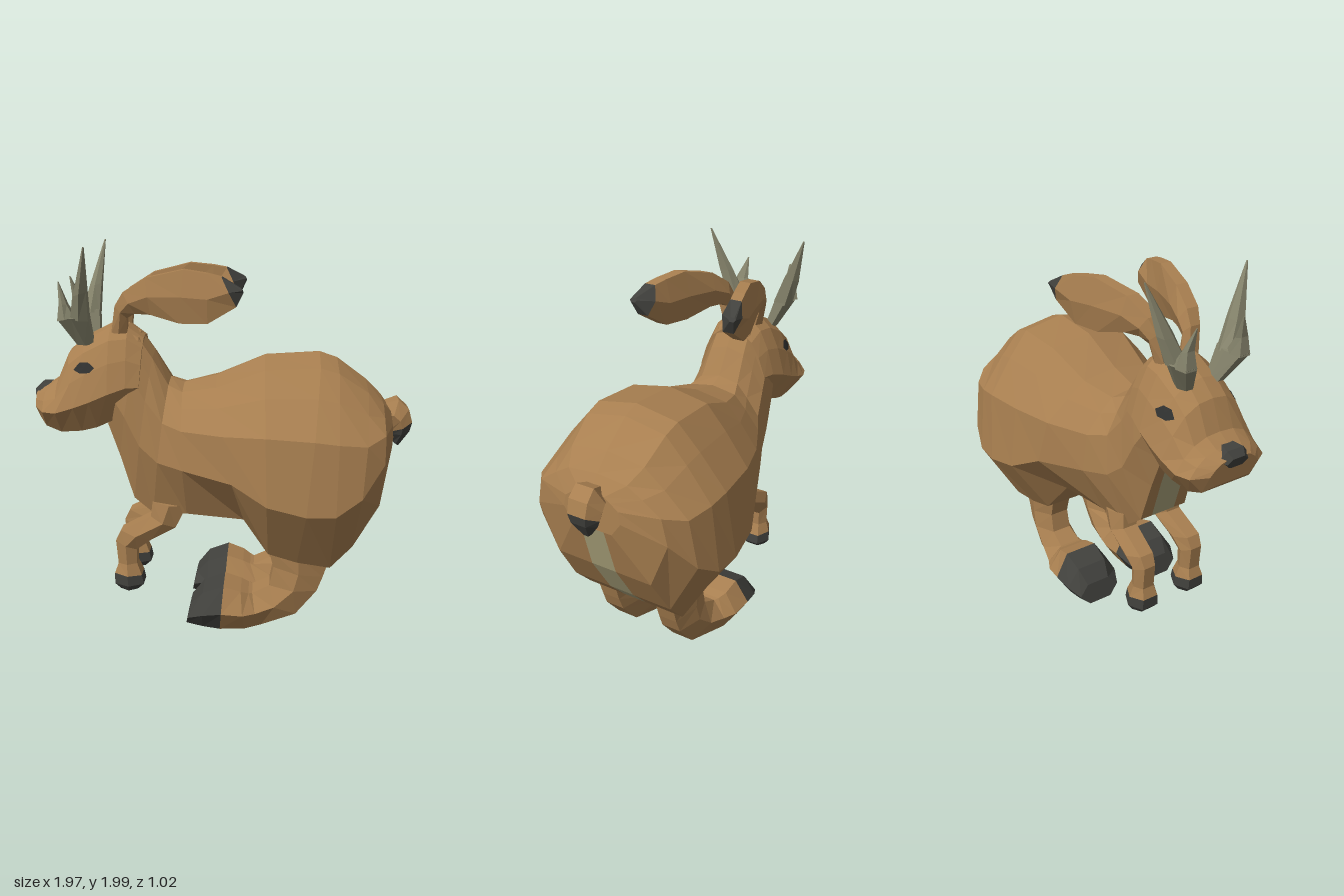
import * as THREE from 'three';

const mat = (name, color, side = THREE.FrontSide) => {
  const m = new THREE.MeshStandardMaterial({ color, flatShading: true, side });
  m.name = name;
  return m;
};

// Skin a list of equal-length rings, cap both ends, and face the surface outward.
// pick(i, j) returns the material slot of the quad after ring i, corner j.
function loft(name, rings, mats, pick = () => 0) {
  const n = rings[0].length;
  const slots = mats.map(() => []);
  const tri = (s, a, b, c) => slots[s].push([a, b, c]);
  for (let i = 0; i < rings.length - 1; i++) {
    for (let j = 0; j < n; j++) {
      const k = (j + 1) % n, s = pick(i, j);
      tri(s, rings[i][j], rings[i + 1][j], rings[i + 1][k]);
      tri(s, rings[i][j], rings[i + 1][k], rings[i][k]);
    }
  }
  const last = rings.length - 1;
  for (let j = 1; j < n - 1; j++) {
    tri(pick(0, j), rings[0][0], rings[0][j], rings[0][j + 1]);
    tri(pick(last, j), rings[last][0], rings[last][j + 1], rings[last][j]);
  }
  let volume = 0;
  const cross = new THREE.Vector3();
  slots.flat().forEach(([a, b, c]) => { volume += a.dot(cross.crossVectors(b, c)); });
  const geo = new THREE.BufferGeometry();
  const pos = [];
  slots.forEach((tris, s) => {
    geo.addGroup(pos.length / 3, tris.length * 3, s);
    tris.forEach(([a, b, c]) => (volume > 0 ? [a, b, c] : [a, c, b]).forEach(p => pos.push(p.x, p.y, p.z)));
  });
  geo.setAttribute('position', new THREE.Float32BufferAttribute(pos, 3));
  geo.computeVertexNormals();
  const mesh = new THREE.Mesh(geo, mats.length > 1 ? mats : mats[0]);
  mesh.name = name;
  return mesh;
}

// Torso or head ring: [xTop, yTop, xBottom, yBottom, halfWidth, yWidest, bottomHalfWidth]
const trunkRing = taper => ([xT, T, xB, B, w, ym, wb]) => {
  const half = [[Math.min(0.07, wb * 0.6), B], [wb, B], [w, ym],
    ...taper.map(([f, h]) => [w * f, ym + (T - ym) * h])];
  const at = (z, y) => new THREE.Vector3(xB + (xT - xB) * (y - B) / (T - B), y, z);
  const right = half.map(([z, y]) => at(z, y));
  const left = half.map(([z, y]) => at(-z, y)).reverse();
  return [left[left.length - 1], ...right, at(0, T), ...left.slice(0, -1)];
};

// Six-sided limb ring between two edge points: [x1, y1, x2, y2, z, halfWidth]
const limbRing = side => ([x1, y1, x2, y2, z, w]) =>
  [[0, 0.55], [0.5, 1], [1, 0.55], [1, -0.55], [0.5, -1], [0, -0.55]].map(([t, f]) =>
    new THREE.Vector3(x1 + (x2 - x1) * t, y1 + (y2 - y1) * t, side * (z + w * f)));

export function createModel() {
  const fur = mat('brown fur', 0xa87f50);
  const pale = mat('pale belly', 0xaca47c);
  const horn = mat('antler', 0x86846c);
  const dark = mat('dark tips', 0x41413d);
  const ink = mat('eye', 0x2f302f, THREE.DoubleSide);

  const model = new THREE.Group();
  model.name = 'antleredHare';

  // Torso from rump to neck, with a pale strip along the underside
  const torso = [
    [0.87, 1.17, 0.88, 0.98, 0.16, 1.05, 0.11],
    [0.82, 1.24, 0.81, 0.72, 0.37, 0.97, 0.27],
    [0.74, 1.32, 0.68, 0.50, 0.46, 0.82, 0.29],
    [0.59, 1.43, 0.57, 0.38, 0.50, 0.74, 0.29],
    [0.50, 1.46, 0.40, 0.40, 0.51, 0.74, 0.28],
    [0.22, 1.44, 0.25, 0.44, 0.49, 0.78, 0.27],
    [-0.03, 1.33, 0.12, 0.61, 0.42, 0.87, 0.22],
    [-0.20, 1.29, -0.18, 0.62, 0.31, 0.90, 0.18],
    [-0.27, 1.32, -0.36, 0.61, 0.25, 0.92, 0.15],
    [-0.35, 1.46, -0.46, 0.69, 0.225, 1.0, 0.14],
    [-0.42, 1.56, -0.53, 0.92, 0.21, 1.15, 0.13],
    [-0.48, 1.59, -0.59, 1.09, 0.19, 1.25, 0.12],
  ].map(trunkRing([[0.92, 0.51], [0.66, 0.76], [0.44, 0.94]]));
  model.add(loft('torso', torso, [fur, pale], (i, j) => (j === 0 ? 1 : 0)));

  // Head
  const head = loft('head', [
    [-0.97, 1.25, -0.95, 1.12, 0.14, 1.18, 0.10],
    [-0.91, 1.28, -0.91, 1.08, 0.215, 1.17, 0.14],
    [-0.85, 1.32, -0.83, 1.05, 0.24, 1.17, 0.15],
    [-0.79, 1.46, -0.72, 1.06, 0.245, 1.20, 0.16],
    [-0.71, 1.53, -0.64, 1.08, 0.245, 1.23, 0.16],
    [-0.57, 1.60, -0.57, 1.11, 0.24, 1.27, 0.15],
    [-0.48, 1.60, -0.48, 1.15, 0.22, 1.30, 0.14],
    [-0.40, 1.54, -0.42, 1.18, 0.20, 1.30, 0.12],
  ].map(trunkRing([[0.82, 0.45], [0.6, 0.78], [0.32, 0.96]])), [fur]);
  model.add(head);

  // Nose
  model.add(loft('nose', [
    [-0.985, 1.25, -0.97, 1.20, 0, 0.06],
    [-0.955, 1.28, -0.94, 1.19, 0, 0.085],
    [-0.90, 1.285, -0.90, 1.24, 0, 0.06],
  ].map(limbRing(1)), [dark]));

  // Tail with a dark tip
  model.add(loft('tail', [
    [0.82, 1.19, 0.84, 1.08, 0, 0.06],
    [0.91, 1.22, 0.86, 1.07, 0, 0.09],
    [0.965, 1.17, 0.87, 1.06, 0, 0.095],
    [0.985, 1.10, 0.88, 1.05, 0, 0.09],
    [0.975, 1.05, 0.885, 1.03, 0, 0.075],
    [0.925, 0.965, 0.895, 0.985, 0, 0.025],
  ].map(limbRing(1)), [fur, dark], i => (i >= 3 ? 1 : 0)));

  // Eye outline laid onto the side of the head by casting rays
  head.updateMatrixWorld();
  const ray = new THREE.Raycaster();
  const onHead = (x, y, side) => {
    ray.set(new THREE.Vector3(x, y, side), new THREE.Vector3(0, 0, -side));
    const hit = ray.intersectObject(head)[0];
    return new THREE.Vector3(x, y, (hit ? hit.point.z : side * 0.18) + side * 0.008);
  };
  const eyeOutline = [[-0.745, 1.385], [-0.715, 1.42], [-0.67, 1.425], [-0.635, 1.40], [-0.66, 1.375], [-0.71, 1.37]];

  for (const side of [1, -1]) {
    const tag = side > 0 ? 'A' : 'B';
    const add = (name, sections, mats, pick) =>
      model.add(loft(name + tag, sections.map(limbRing(side)), mats, pick));

    // Eye
    const rim = eyeOutline.map(([x, y]) => onHead(x, y, side));
    const mid = onHead(-0.69, 1.398, side);
    const eyeGeo = new THREE.BufferGeometry().setFromPoints(
      rim.flatMap((p, i) => (side > 0 ? [mid, rim[(i + 1) % rim.length], p] : [mid, p, rim[(i + 1) % rim.length]])));
    eyeGeo.computeVertexNormals();
    const eye = new THREE.Mesh(eyeGeo, ink);
    eye.name = 'eye' + tag;
    model.add(eye);

    // Hind leg and long foot with dark toes
    add('hindLeg', [
      [0.25, 0.46, 0.57, 0.40, 0.18, 0.10],
      [0.28, 0.35, 0.54, 0.30, 0.18, 0.095],
      [0.26, 0.245, 0.51, 0.22, 0.18, 0.10],
      [0.17, 0.20, 0.40, 0.085, 0.18, 0.11],
      [0.15, 0.205, 0.22, 0.025, 0.185, 0.13],
      [0.11, 0.225, 0.13, 0.01, 0.195, 0.155],
      [0.02, 0.255, 0.0, 0.01, 0.20, 0.165],
      [-0.09, 0.215, -0.09, 0.02, 0.20, 0.155],
      [-0.155, 0.14, -0.18, 0.03, 0.20, 0.12],
    ], [fur, dark], i => (i >= 6 ? 1 : 0));

    // Foreleg with a dark hoof
    add('foreleg', [
      [-0.36, 0.68, -0.18, 0.66, 0.13, 0.08],
      [-0.37, 0.60, -0.24, 0.54, 0.14, 0.075],
      [-0.53, 0.52, -0.37, 0.47, 0.15, 0.07],
      [-0.56, 0.46, -0.45, 0.41, 0.15, 0.06],
      [-0.55, 0.33, -0.45, 0.33, 0.15, 0.06],
      [-0.57, 0.275, -0.425, 0.265, 0.15, 0.08],
      [-0.57, 0.215, -0.415, 0.215, 0.15, 0.085],
      [-0.54, 0.18, -0.45, 0.18, 0.15, 0.06],
    ], [fur, dark], i => (i >= 5 ? 1 : 0));

    // Swept-back ear with a dark tip
    add('ear', [
      [-0.56, 1.56, -0.48, 1.56, 0.075, 0.045],
      [-0.535, 1.70, -0.475, 1.64, 0.095, 0.05],
      [-0.49, 1.77, -0.43, 1.665, 0.11, 0.06],
      [-0.37, 1.845, -0.35, 1.665, 0.14, 0.06],
      [-0.18, 1.89, -0.20, 1.63, 0.19, 0.055],
      [-0.06, 1.875, -0.06, 1.635, 0.225, 0.055],
      [0.01, 1.86, 0.08, 1.72, 0.245, 0.055],
      [0.105, 1.81, 0.115, 1.79, 0.28, 0.02],
    ], [fur, dark], i => (i >= 6 ? 1 : 0));

    // Antler: stem, short front prong, tall rear prong
    add('antlerStem', [
      [-0.735, 1.50, -0.65, 1.50, 0.09, 0.035],
      [-0.815, 1.64, -0.66, 1.65, 0.15, 0.055],
    ], [horn]);
    add('antlerFrontProng', [
      [-0.815, 1.63, -0.73, 1.65, 0.15, 0.055],
      [-0.805, 1.72, -0.765, 1.71, 0.15, 0.035],
      [-0.815, 1.82, -0.81, 1.82, 0.13, 0.004],
    ], [horn]);
    add('antlerRearProng', [
      [-0.75, 1.64, -0.66, 1.63, 0.15, 0.055],
      [-0.72, 1.76, -0.655, 1.78, 0.20, 0.045],
      [-0.65, 2.0, -0.643, 2.0, 0.28, 0.004],
    ], [horn]);
  }
  return model;
}
